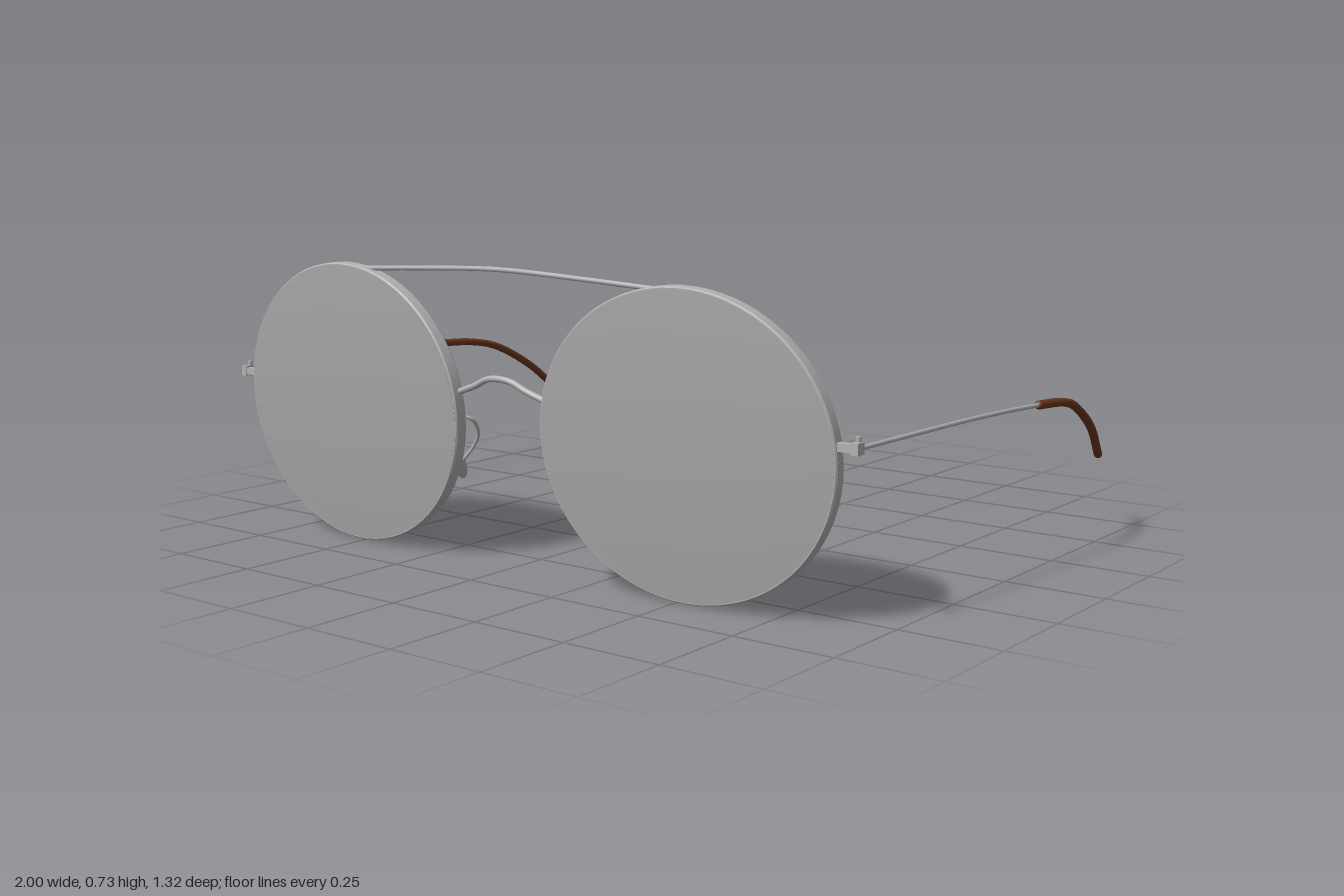
import * as THREE from 'three';
import { toCreasedNormals } from 'three/addons/utils/BufferGeometryUtils.js';

const material = (name, color) => {
  const m = new THREE.MeshStandardMaterial({ color });
  m.name = name;
  return m;
};

export function createModel() {
  const metal = material('brushed metal', 0xb2b2b2);
  const tint = material('grey lens', 0xa6a6a6);
  const brown = material('brown tip', 0x6b3820);
  const model = new THREE.Group();
  model.name = 'glasses';

  const add = (parent, name, geometry, mat) => {
    const mesh = new THREE.Mesh(geometry, mat);
    mesh.name = name;
    parent.add(mesh);
    return mesh;
  };

  // Round wire through points, closed by a ball at each end; s mirrors x
  const wire = (parent, name, points, radius, mat, s = 1) => {
    const pts = points.map(([x, y, z]) => new THREE.Vector3(s * x, y, z));
    const curve = new THREE.CatmullRomCurve3(pts);
    add(parent, name, new THREE.TubeGeometry(curve, 40, radius, 10), mat);
    for (const p of [pts[0], pts[pts.length - 1]]) {
      add(parent, name + 'End', new THREE.SphereGeometry(radius, 10, 8), mat).position.copy(p);
    }
  };

  // Turned profile of [radius, depth], facing +z and stretched to the oval eye shape
  const oval = (profile) => {
    const g = new THREE.LatheGeometry(profile.map(([r, h]) => new THREE.Vector2(r, h)), 72);
    g.rotateX(Math.PI / 2).scale(0.393, 0.357, 1);
    return toCreasedNormals(g, 0.6);
  };
  const rimGeometry = oval([[0.955, -0.035], [0.99, -0.035], [1, -0.03], [1, -0.004],
    [0.992, 0], [0.955, 0], [0.955, -0.035]]);
  const lensGeometry = oval([[0, -0.006], [0.5, -0.01], [0.965, -0.02], [0.985, 0.001],
    [0.75, 0.007], [0.4, 0.011], [0, 0.013]]);

  // Bars joining the two eyes
  wire(model, 'browBar', [[-0.46, 0.706, 0.637], [-0.25, 0.717, 0.641], [0, 0.726, 0.645],
    [0.25, 0.717, 0.641], [0.46, 0.706, 0.637]], 0.006, metal);
  wire(model, 'noseBridge', [[-0.137, 0.425, 0.632], [-0.08, 0.445, 0.638], [-0.04, 0.463, 0.643],
    [0, 0.468, 0.645], [0.04, 0.463, 0.643], [0.08, 0.445, 0.638], [0.137, 0.425, 0.632]], 0.008, metal);

  for (const s of [1, -1]) {
    const side = new THREE.Group();
    side.name = s > 0 ? 'leftSide' : 'rightSide';
    model.add(side);

    // Rim and lens, tipped forward at the top and swept back at the outside
    const eye = new THREE.Group();
    eye.name = 'eye';
    eye.position.set(s * 0.525, 0.36, 0.635);
    eye.rotation.set(0.056, s * 0.045, 0);
    add(eye, 'rim', rimGeometry, metal);
    add(eye, 'lens', lensGeometry, tint);
    side.add(eye);

    // End piece and hinge
    add(side, 'endPiece', new THREE.BoxGeometry(0.06, 0.018, 0.018), metal)
      .position.set(s * 0.935, 0.403, 0.604);
    add(side, 'hingeBlock', new THREE.BoxGeometry(0.018, 0.026, 0.026), metal)
      .position.set(s * 0.957, 0.403, 0.602);
    add(side, 'hingeScrew', new THREE.CylinderGeometry(0.006, 0.006, 0.042, 12), metal)
      .position.set(s * 0.955, 0.407, 0.595);

    // Temple wire and its curved sleeve
    wire(side, 'temple', [[0.956, 0.402, 0.6], [0.969, 0.405, 0.38], [0.979, 0.406, 0.15],
      [0.985, 0.403, -0.03], [0.988, 0.397, -0.2]], 0.0055, metal, s);
    wire(side, 'templeTip', [[0.988, 0.398, -0.178], [0.987, 0.389, -0.3], [0.977, 0.367, -0.4],
      [0.96, 0.29, -0.545], [0.938, 0.203, -0.646]], 0.011, brown, s);

    // Nose pad on its bent arm
    wire(side, 'padArm', [[0.165, 0.36, 0.605], [0.145, 0.348, 0.583], [0.152, 0.31, 0.556],
      [0.178, 0.27, 0.55], [0.208, 0.235, 0.556]], 0.0045, metal, s);
    const pad = add(side, 'nosePad', new THREE.SphereGeometry(1, 20, 14), metal);
    pad.scale.set(0.008, 0.038, 0.016);
    pad.position.set(s * 0.214, 0.222, 0.556);
    pad.rotation.set(0.35, s * 0.6, s * 0.15);
  }
  return model;
}
